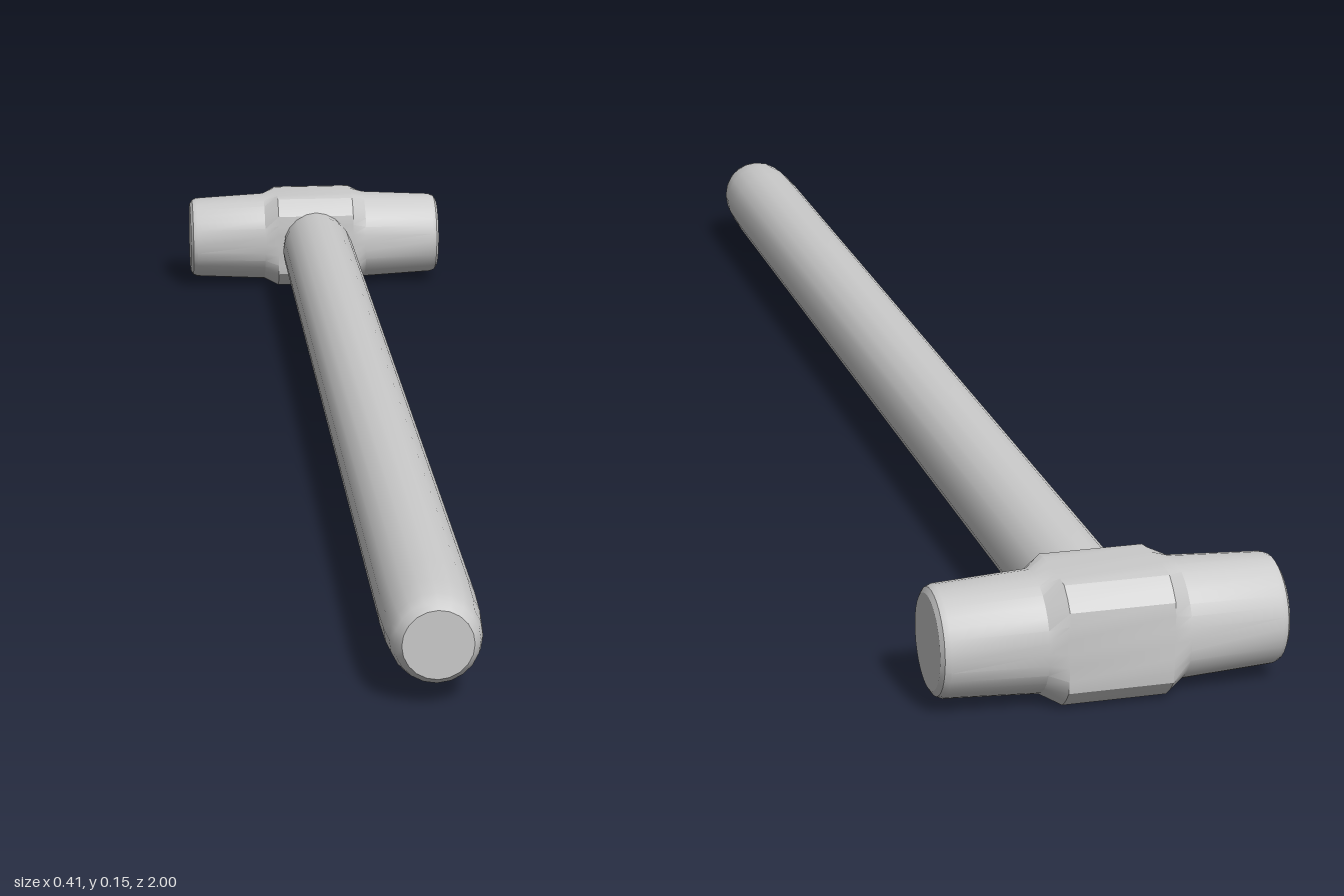
import * as THREE from 'three';
import { toCreasedNormals } from 'three/addons/utils/BufferGeometryUtils.js';

const AXIS_Y = 0.0755;
const HEAD_Z = -0.924;

// Loft along x. Each section is a circle of radius r clipped to a square of half-width w.
function loft(sections, sides) {
  const pos = [], index = [];
  for (const [x, w, r] of sections) {
    for (let i = 0; i < sides; i++) {
      const a = (i / sides) * Math.PI * 2;
      const clip = (v) => Math.max(-w, Math.min(w, v));
      pos.push(x, clip(r * Math.cos(a)), clip(r * Math.sin(a)));
    }
  }
  for (let s = 0; s < sections.length - 1; s++) {
    for (let i = 0; i < sides; i++) {
      const j = (i + 1) % sides;
      const a = s * sides + i, b = s * sides + j, c = a + sides, d = b + sides;
      index.push(a, b, c, b, d, c);
    }
  }
  const g = new THREE.BufferGeometry();
  g.setAttribute('position', new THREE.Float32BufferAttribute(pos, 3));
  g.setIndex(index);
  return toCreasedNormals(g, 0.45);
}

export function createModel() {
  const group = new THREE.Group();
  const material = new THREE.MeshStandardMaterial({ color: 0xcccccc });

  // Double-faced head: squared middle, round tapering ends with bevelled faces
  const half = [
    [0.062, 0.0755, 0.088],
    [0.084, 0.07, 0.0715],
    [0.196, 0.0655, 0.0655],
    [0.203, 0.0625, 0.0625],
    [0.207, 0.056, 0.056],
    [0.207, 0, 0],
  ];
  const mirrored = half.map(([x, w, r]) => [-x, w, r]).reverse();
  const head = new THREE.Mesh(loft([...mirrored, ...half], 32), material);
  head.name = 'hammerHead';
  head.position.set(0, AXIS_Y, HEAD_Z);
  group.add(head);

  // Round handle, slightly tapered at the neck and rounded at the butt
  const profile = [
    [0, -0.93], [0.052, -0.93], [0.054, -0.85], [0.0575, -0.81], [0.0575, 0.88],
    [0.056, 0.94], [0.053, 0.975], [0.049, 0.99], [0.041, 1], [0, 1],
  ].map(([r, z]) => new THREE.Vector2(r, z));
  const handleGeometry = toCreasedNormals(new THREE.LatheGeometry(profile, 20), 0.6);
  handleGeometry.rotateX(Math.PI / 2);
  const handle = new THREE.Mesh(handleGeometry, material);
  handle.name = 'handle';
  handle.position.y = AXIS_Y;
  group.add(handle);

  return group;
}
